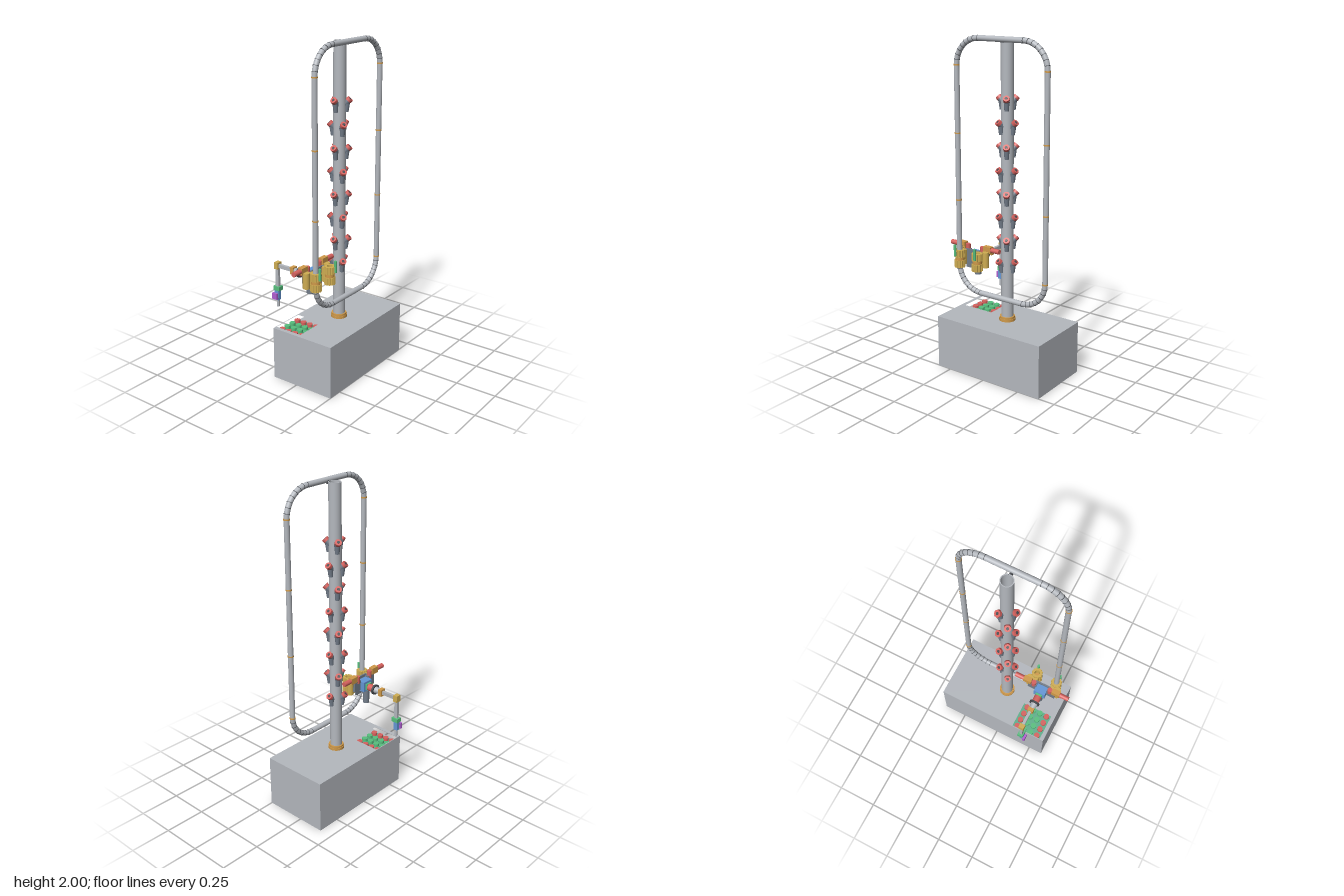
import * as THREE from 'three';

const mat = (name, color, side = THREE.FrontSide) => {
  const m = new THREE.MeshStandardMaterial({ color, side });
  m.name = name;
  return m;
};
const M = {
  grey: mat('light grey', 0xb4b8be), dark: mat('dark grey', 0x484b50),
  steel: mat('steel', 0x737d8a), red: mat('red', 0xd6625e),
  orange: mat('orange', 0xd09a4a), gold: mat('gold', 0xcfad52),
  green: mat('green', 0x58bf7e), teal: mat('tray green', 0x5fae8c),
  blue: mat('blue', 0x6497d6), purple: mat('purple', 0xb05fd0),
};

function add(parent, name, geo, material, x = 0, y = 0, z = 0) {
  const m = new THREE.Mesh(geo, material);
  m.name = name;
  m.position.set(x, y, z);
  parent.add(m);
  return m;
}
// Box given by its limits on each axis
function box(parent, name, material, [x0, x1], [y0, y1], [z0, z1]) {
  return add(parent, name, new THREE.BoxGeometry(x1 - x0, y1 - y0, z1 - z0), material,
    (x0 + x1) / 2, (y0 + y1) / 2, (z0 + z1) / 2);
}
// Cylinder running from point a to point b
function rod(parent, name, material, a, b, r0, r1 = r0, sides = 24) {
  const A = new THREE.Vector3(...a), B = new THREE.Vector3(...b);
  const d = B.clone().sub(A);
  const m = add(parent, name, new THREE.CylinderGeometry(r1, r0, d.length(), sides), material);
  m.position.copy(A).add(B).multiplyScalar(0.5);
  m.quaternion.setFromUnitVectors(new THREE.Vector3(0, 1, 0), d.normalize());
  return m;
}

// Cabinet with a sunken tray of pots
function makeBase() {
  const g = new THREE.Group();
  g.name = 'base';
  const floor = 0.285;
  box(g, 'cabinet', M.grey, [-0.168, 0.252], [0, floor], [-0.395, 0.34]);
  const rect = (P, x0, x1, z0, z1) => new P([[x0, -z0], [x1, -z0], [x1, -z1], [x0, -z1]]
    .map(p => new THREE.Vector2(...p)));
  const lid = rect(THREE.Shape, -0.168, 0.252, -0.395, 0.34);
  lid.holes.push(rect(THREE.Path, -0.163, 0.016, 0.113, 0.315));
  const geo = new THREE.ExtrudeGeometry(lid, { depth: 0.325 - floor, bevelEnabled: false });
  geo.rotateX(-Math.PI / 2);
  add(g, 'cabinetTop', geo, M.grey, 0, floor, 0);
  box(g, 'trayFloor', M.teal, [-0.163, 0.016], [floor, floor + 0.006], [0.113, 0.315]);
  for (let i = 0; i < 4; i++) for (let j = 0; j < 4; j++) {
    const x = -0.145 + i * 0.0475, z = 0.143 + j * 0.0475;
    rod(g, 'pot', j % 3 ? M.green : M.red, [x, floor, z], [x, floor + 0.025, z], 0.0178);
  }
  return g;
}

// One planting cup, facing +z from the column axis
function makePod() {
  const g = new THREE.Group();
  g.name = 'pod';
  rod(g, 'cupBody', M.steel, [0, -0.035, 0.022], [0, -0.004, 0.053], 0.016, 0.0185);
  rod(g, 'cupRim', M.red, [0, -0.009, 0.048], [0, 0.003, 0.06], 0.0195);
  rod(g, 'cupOpening', M.dark, [0, 0.002, 0.059], [0, 0.0038, 0.0608], 0.0085);
  rod(g, 'cupStem', M.steel, [0, -0.07, 0.037], [0, -0.02, 0.042], 0.013, 0.016);
  return g;
}

// Hollow tower with staggered rings of three cups
function makeTower() {
  const g = new THREE.Group();
  g.name = 'tower';
  const profile = [[0.031, 0.325], [0.0365, 0.325], [0.0365, 1.985], [0.031, 1.985], [0.031, 0.325]];
  const parts = [];
  for (let i = 0; i < 4; i++) parts.push(profile.slice(i, i + 2));
  for (const p of parts) {
    add(g, 'towerWall', new THREE.LatheGeometry(p.map(q => new THREE.Vector2(...q)), 40), M.grey);
  }
  rod(g, 'towerCore', M.grey, [0, 0.325, 0], [0, 1.72, 0], 0.016);
  rod(g, 'towerCollar', M.orange, [0, 0.325, 0], [0, 0.34, 0], 0.049, 0.049, 40);
  rod(g, 'towerCollarTop', M.orange, [0, 0.34, 0], [0, 0.352, 0], 0.045, 0.045, 40);
  for (let level = 0; level < 8; level++) for (let k = 0; k < 3; k++) {
    const pod = makePod();
    pod.position.y = 1.66 - level * 0.137;
    pod.rotation.y = (k * 2 + level % 2) * Math.PI / 3;
    g.add(pod);
  }
  g.position.set(0.043, 0, -0.028);
  return g;
}

// Closed rail loop with segmented bends and joint rings
function makeRail() {
  const g = new THREE.Group();
  g.name = 'rail';
  const X = 0.105, R = 0.155, z0 = -0.335, z1 = 0.282, y0 = 0.48, y1 = 1.984, r = 0.016;
  const bends = [[z1 - R, y1 - R], [z0 + R, y1 - R], [z0 + R, y0 + R], [z1 - R, y0 + R]];
  const path = new THREE.CurvePath();
  const at = (c, a) => new THREE.Vector3(X, c[1] + R * Math.sin(a), c[0] + R * Math.cos(a));
  bends.forEach((c, i) => {
    const a0 = i * Math.PI / 2, pts = [];
    for (let k = 0; k <= 8; k++) {
      const a = a0 + k * Math.PI / 16;
      pts.push(at(c, a));
      const ring = add(g, 'bendSeam', new THREE.CylinderGeometry(r + 0.0006, r + 0.0006, 0.003, 20), M.dark);
      ring.position.copy(at(c, a));
      ring.rotation.x = -a;
    }
    for (let k = 0; k < 8; k++) path.add(new THREE.LineCurve3(pts[k], pts[k + 1]));
    path.add(new THREE.LineCurve3(pts[8], at(bends[(i + 1) % 4], a0 + Math.PI / 2)));
  });
  add(g, 'railTube', new THREE.TubeGeometry(path, 300, r, 20, true), M.grey);
  for (const z of [z0, z1]) for (const y of [1.829, 1.435, 1.035, 0.635]) {
    rod(g, 'railJoint', M.orange, [X, y - 0.004, z], [X, y + 0.004, z], r + 0.0015);
  }
  box(g, 'railBracket', M.dark, [0.074, 0.1], [1.965, 1.985], [-0.036, -0.02]);
  return g;
}

// Toothed clamp drive; s = +1 for the front one, -1 for the rear
function makeDrive(s) {
  const g = new THREE.Group();
  g.name = 'drive';
  const c = 0.215, Z = d => c + s * d, span = (a, b) => [Z(a), Z(b)].sort((p, q) => p - q);
  const gear = new THREE.Shape();
  for (let i = 0; i < 48; i++) {
    const a = i * Math.PI / 24, r = i % 4 < 2 ? 0.034 : 0.030;
    gear[i ? 'lineTo' : 'moveTo'](r * Math.cos(a), r * Math.sin(a));
  }
  const hole = new THREE.Path();
  hole.absarc(0, 0, 0.0165, 0, Math.PI * 2, true);
  gear.holes.push(hole);
  for (const [y, h] of [[0.615, 0.045], [0.68, 0.045]]) {
    const geo = new THREE.ExtrudeGeometry(gear, { depth: h, bevelEnabled: false, curveSegments: 20 });
    geo.rotateX(-Math.PI / 2);
    add(g, 'clampGear', geo, M.gold, 0.105, y, Z(0.066));
  }
  rod(g, 'clampCore', M.orange, [0.105, 0.66, Z(0.066)], [0.105, 0.68, Z(0.066)], 0.028);
  rod(g, 'driveWheel', M.gold, [0.06, 0.63, Z(0.095)], [0.06, 0.725, Z(0.095)], 0.021);
  box(g, 'clampArm', M.gold, [0.056, 0.085], [0.625, 0.715], span(0.045, 0.085));
  rod(g, 'sensorPost', M.green, [0.14, 0.69, Z(0.074)], [0.14, 0.76, Z(0.074)], 0.008);
  box(g, 'motorMount', M.orange, [0.021, 0.052], [0.715, 0.755], span(0.07, 0.122));
  rod(g, 'motor', M.red, [0.036, 0.735, Z(0.12)], [0.036, 0.735, Z(0.18)], 0.0148);
  rod(g, 'motorEnd', M.red, [0.036, 0.7, Z(0.055)], [0.036, 0.745, Z(0.055)], 0.015);
  box(g, 'mountFoot', M.steel, [0.025, 0.06], [0.65, 0.715], span(0.035, 0.09));
  return g;
}

// Carriage body and jointed arm reaching to the right
function makeRobot() {
  const g = new THREE.Group();
  g.name = 'robot';
  const z = 0.215, y = 0.667;
  g.add(makeDrive(1), makeDrive(-1));
  box(g, 'carriagePlate', M.steel, [0.053, 0.062], [0.605, 0.722], [0.165, 0.265]);
  box(g, 'carriageBody', M.blue, [-0.001, 0.054], [0.64, 0.705], [0.178, 0.252]);
  rod(g, 'baseMotor', M.steel, [0.012, 0.555, z], [0.012, 0.64, z], 0.02);
  box(g, 'shoulderBlock', M.green, [-0.012, -0.001], [0.65, 0.69], [0.195, 0.237]);
  rod(g, 'shoulderMotor', M.red, [-0.055, y, z], [-0.012, y, z], 0.022);
  rod(g, 'shoulderDisc', M.dark, [-0.067, y, z], [-0.055, y, z], 0.032);
  rod(g, 'shoulderCone', M.grey, [-0.1, y, z], [-0.067, y, z], 0.015, 0.022);
  box(g, 'upperArmClamp', M.orange, [-0.124, -0.1], [0.645, 0.689], [0.196, 0.233]);
  box(g, 'upperArm', M.grey, [-0.22, -0.124], [0.657, 0.679], [0.206, 0.224]);
  box(g, 'elbow', M.gold, [-0.246, -0.218], [0.648, 0.69], [0.197, 0.231]);
  box(g, 'forearm', M.grey, [-0.243, -0.221], [0.535, 0.65], [0.206, 0.224]);
  box(g, 'wrist', M.green, [-0.255, -0.21], [0.51, 0.536], [0.196, 0.232]);
  box(g, 'wristLink', M.blue, [-0.245, -0.217], [0.45, 0.51], [0.208, 0.232]);
  box(g, 'wristMotor', M.purple, [-0.255, -0.218], [0.457, 0.495], [0.23, 0.246]);
  rod(g, 'toolTip', M.grey, [-0.23, 0.405, 0.218], [-0.23, 0.452, 0.218], 0.009);
  return g;
}

export function createModel() {
  const model = new THREE.Group();
  model.name = 'plantTower';
  model.add(makeBase(), makeTower(), makeRail(), makeRobot());
  // Centre in depth
  model.children.forEach(c => { c.position.z += 0.0; });
  return model;
}
